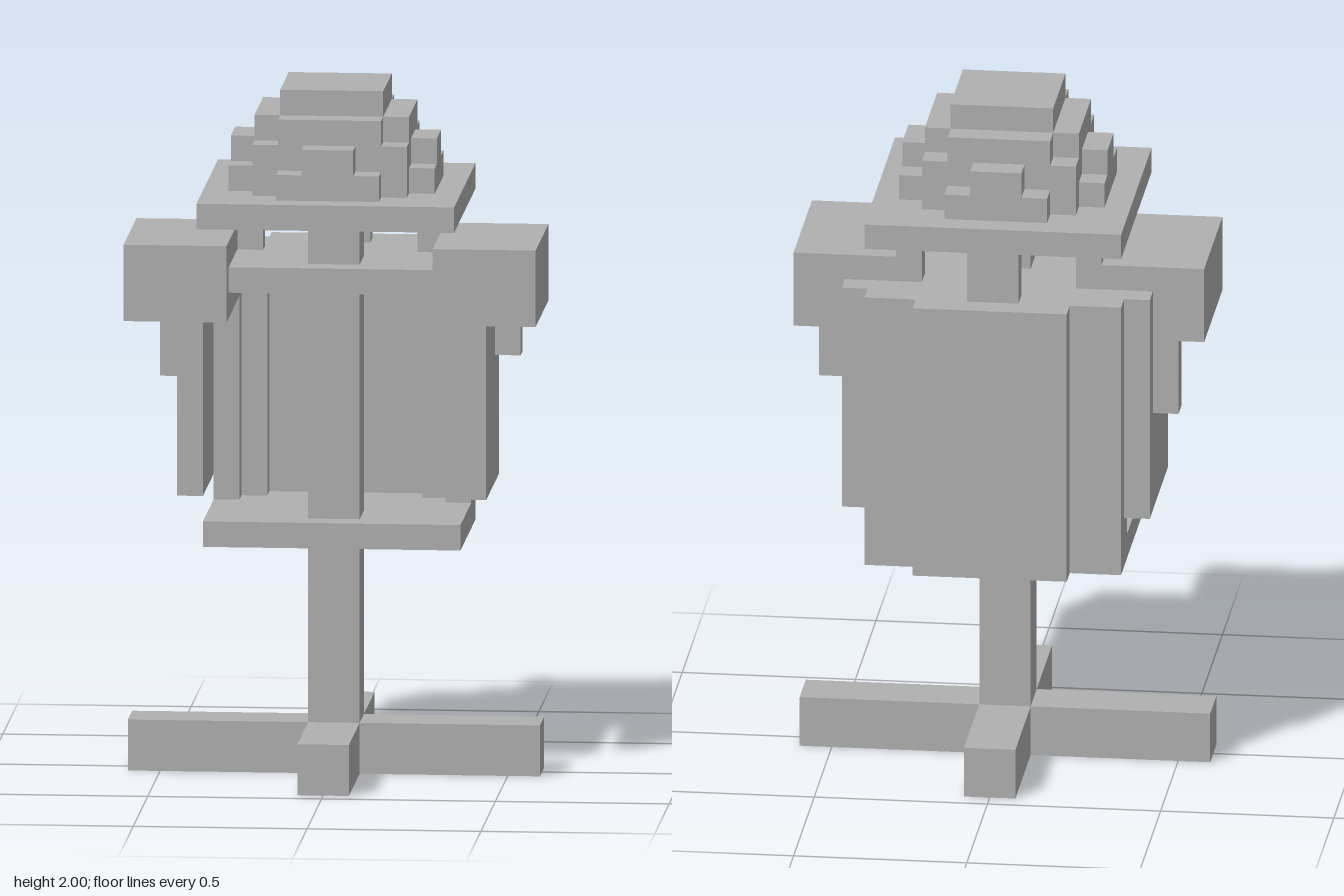
import * as THREE from 'three';

// One block of the grid; the model is 27 blocks tall.
const UNIT = 2 / 27;

// Boxes in block units: [x0, x1, y0, y1, z0, z1]
const mirrorX = ([x0, x1, ...rest]) => [-x1, -x0, ...rest];
const both = (b) => [b, mirrorX(b)];

const PARTS = {
  crossBase: [[-8, 8, 0, 2, -1, 1], [-1, 1, 0, 2, -6, 6]],
  post: [[-1, 1, 2, 22, -1, 1]],
  lowerPlate: [[-5, 5, 9, 10, -5, 2]],
  backPanel: [[-3, 3, 9, 20, -6, -5]],
  backCorners: [...both([3, 5, 9, 20, -5, -4]), ...both([4, 5, 9, 20, -4, -3])],
  sideWalls: [...both([5, 6, 11, 18, -3, 2]), ...both([5, 6, 11, 20, -4, -3])],
  upperPlate: [[-4, 4, 19, 20, -5, 2]],
  shoulders: both([4, 8, 18, 21, -3, 3]),
  // hanging straps, one longer than the other
  leftStrap: [[6, 7, 16, 18, -3, -2]],
  rightStrap: [[-7, -6, 15, 18, -3, -2]],
  neckStrips: [...both([3, 4, 20, 22, -3, -2]), [-1, 1, 20, 22, -5, -4]],
  brim: [[-5, 5, 22, 23, -5, 5]],
  dome: [
    [-3, 3, 23, 25, -3, 3],
    [-3, 3, 25, 26, -2, 2], [-2, 2, 25, 26, -3, 3],
    [-2, 2, 26, 27, -2, 2],
  ],
  // stepped bumps on the four sides of the dome
  domeBumps: [
    [-4, 4, 23, 24, -2, 2], [-4, 4, 24, 25, -1, 1],
    [-2, 2, 23, 24, -4, 4], [-1, 1, 24, 25, -4, 4],
  ],
};

const key = (c) => c.join(',');

// Gives every block to the first part that claims it.
function fillBlocks() {
  const taken = new Set();
  const cells = {};
  for (const [name, boxes] of Object.entries(PARTS)) {
    cells[name] = [];
    for (const [x0, x1, y0, y1, z0, z1] of boxes)
      for (let x = x0; x < x1; x++)
        for (let y = y0; y < y1; y++)
          for (let z = z0; z < z1; z++) {
            const c = [x, y, z];
            if (taken.has(key(c))) continue;
            taken.add(key(c));
            cells[name].push(c);
          }
  }
  return { taken, cells };
}

// Outer skin of the blocks, open underneath.
function skinGeometry(cells, taken) {
  const pos = [];
  for (const c of cells)
    for (let a = 0; a < 3; a++)
      for (const side of [0, 1]) {
        if (a === 1 && side === 0) continue;
        const next = [...c];
        next[a] += side ? 1 : -1;
        if (taken.has(key(next))) continue;
        const corner = (u, v) => {
          const p = [...c];
          p[a] += side;
          p[(a + 1) % 3] += u;
          p[(a + 2) % 3] += v;
          return p.map((n) => n * UNIT);
        };
        const q = [corner(0, 0), corner(1, 0), corner(1, 1), corner(0, 1)];
        if (!side) q.reverse();
        for (const i of [0, 1, 2, 0, 2, 3]) pos.push(...q[i]);
      }
  const g = new THREE.BufferGeometry();
  g.setAttribute('position', new THREE.Float32BufferAttribute(pos, 3));
  g.computeVertexNormals();
  return g;
}

export function createModel() {
  const grey = new THREE.MeshStandardMaterial({ color: 0xb0b0b0, side: THREE.DoubleSide });
  grey.name = 'plain grey';
  const model = new THREE.Group();
  model.name = 'standWithHat';
  const { taken, cells } = fillBlocks();
  for (const name of Object.keys(PARTS)) {
    const mesh = new THREE.Mesh(skinGeometry(cells[name], taken), grey);
    mesh.name = name;
    model.add(mesh);
  }
  return model;
}
